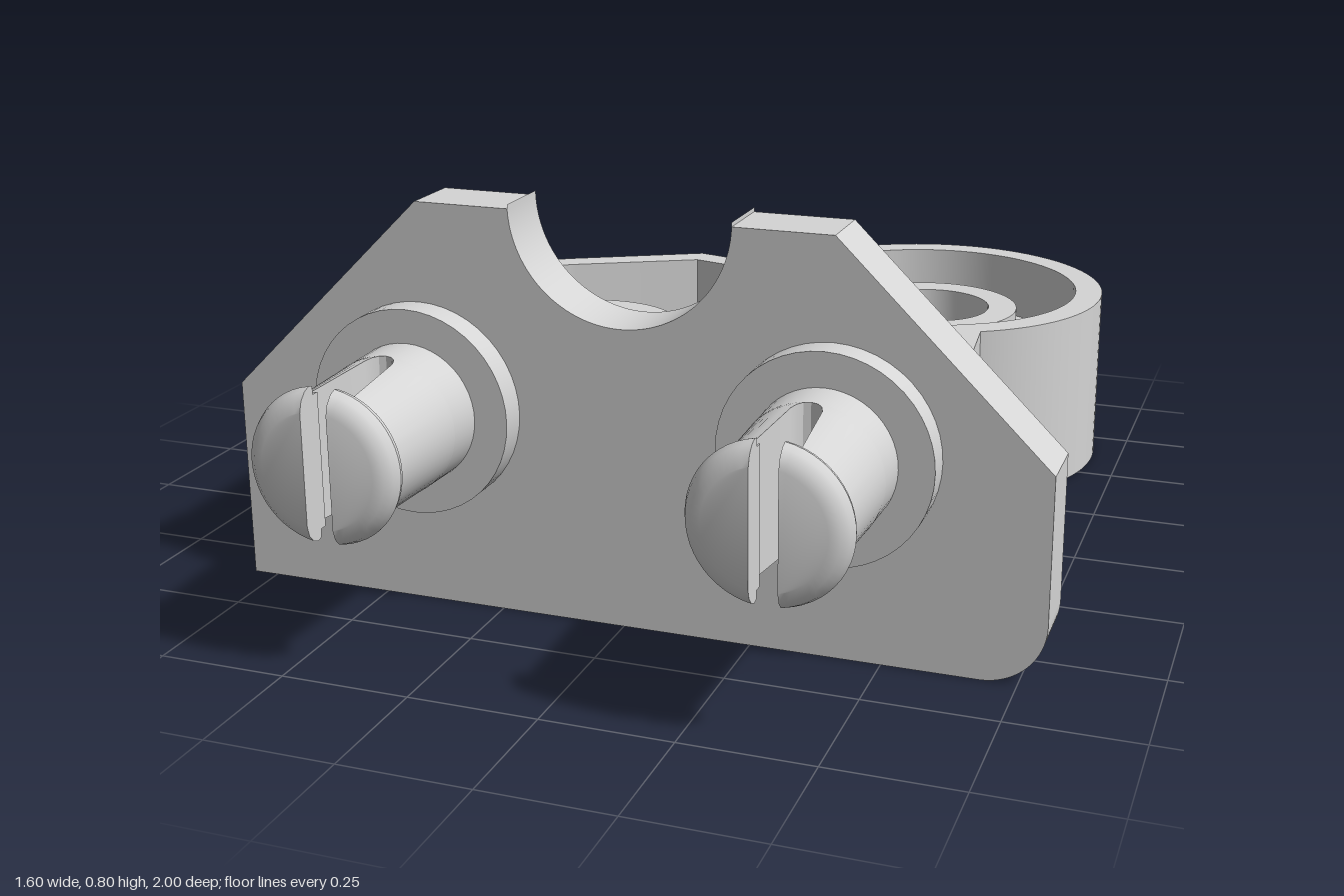
import * as THREE from 'three';
import { toCreasedNormals } from 'three/addons/utils/BufferGeometryUtils.js';

const grey = new THREE.MeshStandardMaterial({ color: 0xd5d5d5 });
grey.name = 'light grey';

function addMesh(parent, name, geometry, crease = 0.55) {
  const mesh = new THREE.Mesh(toCreasedNormals(geometry, crease), grey);
  mesh.name = name;
  parent.add(mesh);
  return mesh;
}

// Extrude a plan drawn in (x, z) between two heights
function slab(shape, y0, y1) {
  const g = new THREE.ExtrudeGeometry(shape, { depth: y1 - y0, bevelEnabled: false, curveSegments: 32 });
  return g.rotateX(Math.PI / 2).translate(0, y1, 0);
}

function circle(x, y, r) {
  return new THREE.Path().absarc(x, y, r, 0, Math.PI * 2, false);
}

const holes = [[-0.403, -0.2], [0.293, -0.608]];
const lineTo = (path, points) => points.forEach(([x, y]) => path.lineTo(x, y));

// Two rounded lobes joined by a notch; "after" closes the outline
function lobes(Type, rim, endZ, notch, after) {
  const path = new Type();
  path.moveTo(-0.8 + rim, endZ);
  path.lineTo(-0.8 + rim, -0.21);
  path.absarc(-0.4, -0.21, 0.4 - rim, Math.PI, Math.PI * 4 / 3, false);
  lineTo(path, notch);
  path.absarc(0.293, -0.605, 0.395 - rim, Math.PI * 4 / 3, Math.PI * 7 / 3, false);
  lineTo(path, after);
  path.closePath();
  return path;
}

const outerOutline = () => lobes(THREE.Shape, 0, 0.5,
  [[-0.315, -0.71], [-0.215, -0.685], [-0.19, -0.785]],
  [[0.485, -0.26], [0.51, -0.02], [0.525, 0.22], [0.535, 0.5],
    [0.27, 0.5], [0.26, 0.22], [0.235, -0.095], [0.1, -0.125],
    [0.075, -0.025], [-0.015, 0.025], [-0.015, 0.5]]);

const mainPocket = (Type) => lobes(Type, 0.06, 0.49,
  [[-0.305, -0.645], [-0.17, -0.61], [-0.14, -0.745]],
  [[0.2, -0.165], [0.06, -0.2], [0.03, -0.07], [-0.075, -0.015], [-0.075, 0.49]]);

function armPocket(Type) {
  const path = new Type();
  path.moveTo(0.33, 0.49);
  lineTo(path, [[0.32, 0.2], [0.29, -0.155], [0.425, -0.23], [0.455, 0.1], [0.475, 0.49]]);
  path.closePath();
  return path;
}

// Half of a split peg: circle segments with radius r, cut off at x = s
function pegHalf() {
  const stations = [
    [0.74, 0.133, 0], [0.743, 0.133, 0.013], [0.752, 0.133, 0.022], [0.768, 0.132, 0.028],
    [0.94, 0.127, 0.042], [0.94, 0.127, 0.025], [0.955, 0.127, 0.025], [0.956, 0.142, 0.025],
    [0.967, 0.145, 0.025], [0.982, 0.139, 0.025], [0.994, 0.126, 0.025], [1, 0.108, 0.025],
  ];
  const n = 24, ring = n + 1, positions = [], index = [];
  for (const [z, r, s] of stations) {
    const a = Math.acos(s / r);
    for (let i = 0; i <= n; i++) {
      const t = -a + (2 * a * i) / n;
      positions.push(r * Math.cos(t), r * Math.sin(t), z);
    }
  }
  for (let j = 0; j < stations.length - 1; j++) {
    for (let i = 0; i < ring; i++) {
      const p = j * ring + i, q = j * ring + (i + 1) % ring;
      index.push(p, q, q + ring, p, q + ring, p + ring);
    }
  }
  const last = (stations.length - 1) * ring;
  for (let i = 1; i < n; i++) index.push(last, last + i, last + i + 1);
  const g = new THREE.BufferGeometry();
  g.setAttribute('position', new THREE.Float32BufferAttribute(positions, 3));
  g.setIndex(index);
  return g;
}

export function createModel() {
  const model = new THREE.Group();
  model.name = 'bracket';

  // Upright mounting plate with a round cut-out in its top edge
  const plate = new THREE.Shape();
  plate.moveTo(-0.8, 0);
  plate.lineTo(0.68, 0);
  plate.absarc(0.68, 0.12, 0.12, -Math.PI / 2, 0, false);
  lineTo(plate, [[0.8, 0.4], [0.403, 0.792], [0.215, 0.792]]);
  plate.absarc(0, 0.8, 0.215, 0, -Math.PI, true);
  lineTo(plate, [[-0.215, 0.792], [-0.403, 0.792], [-0.8, 0.4]]);
  plate.closePath();
  addMesh(model, 'mountingPlate', new THREE.ExtrudeGeometry(plate,
    { depth: 0.125, bevelEnabled: false, curveSegments: 32 }).translate(0, 0, 0.482));

  // Rim walls of the body, open above and below the floors
  const walls = outerOutline();
  walls.holes.push(mainPocket(THREE.Path), armPocket(THREE.Path));
  addMesh(model, 'bodyWalls', slab(walls, 0, 0.385));

  // Floors halfway up the walls
  const floor = mainPocket(THREE.Shape);
  for (const [x, z] of holes) floor.holes.push(circle(x, z, 0.17));
  addMesh(model, 'bodyFloor', slab(floor, 0.145, 0.24));
  addMesh(model, 'armFloor', slab(armPocket(THREE.Shape), 0.145, 0.24));

  // Collars around the two through holes
  for (const [x, z] of holes) {
    const collar = new THREE.Shape().absarc(x, z, 0.2, 0, Math.PI * 2, false);
    collar.holes.push(circle(x, z, 0.135));
    addMesh(model, 'holeCollar', slab(collar, 0.05, 0.335));
  }

  // Split snap pegs on the front of the plate
  for (const x of [-0.403, 0.403]) {
    const peg = new THREE.Group();
    peg.name = 'snapPeg';
    peg.position.set(x, 0.4, 0);
    const disc = (r0, r1, z0, z1) => new THREE.CylinderGeometry(r1, r0, z1 - z0, 48)
      .rotateX(Math.PI / 2).translate(0, 0, (z0 + z1) / 2);
    addMesh(peg, 'pegBase', disc(0.2, 0.2, 0.6, 0.663));
    addMesh(peg, 'pegShaft', disc(0.135, 0.133, 0.65, 0.74));
    for (const turn of [0, Math.PI]) addMesh(peg, 'pegProng', pegHalf()).rotation.z = turn;
    model.add(peg);
  }

  return model;
}
